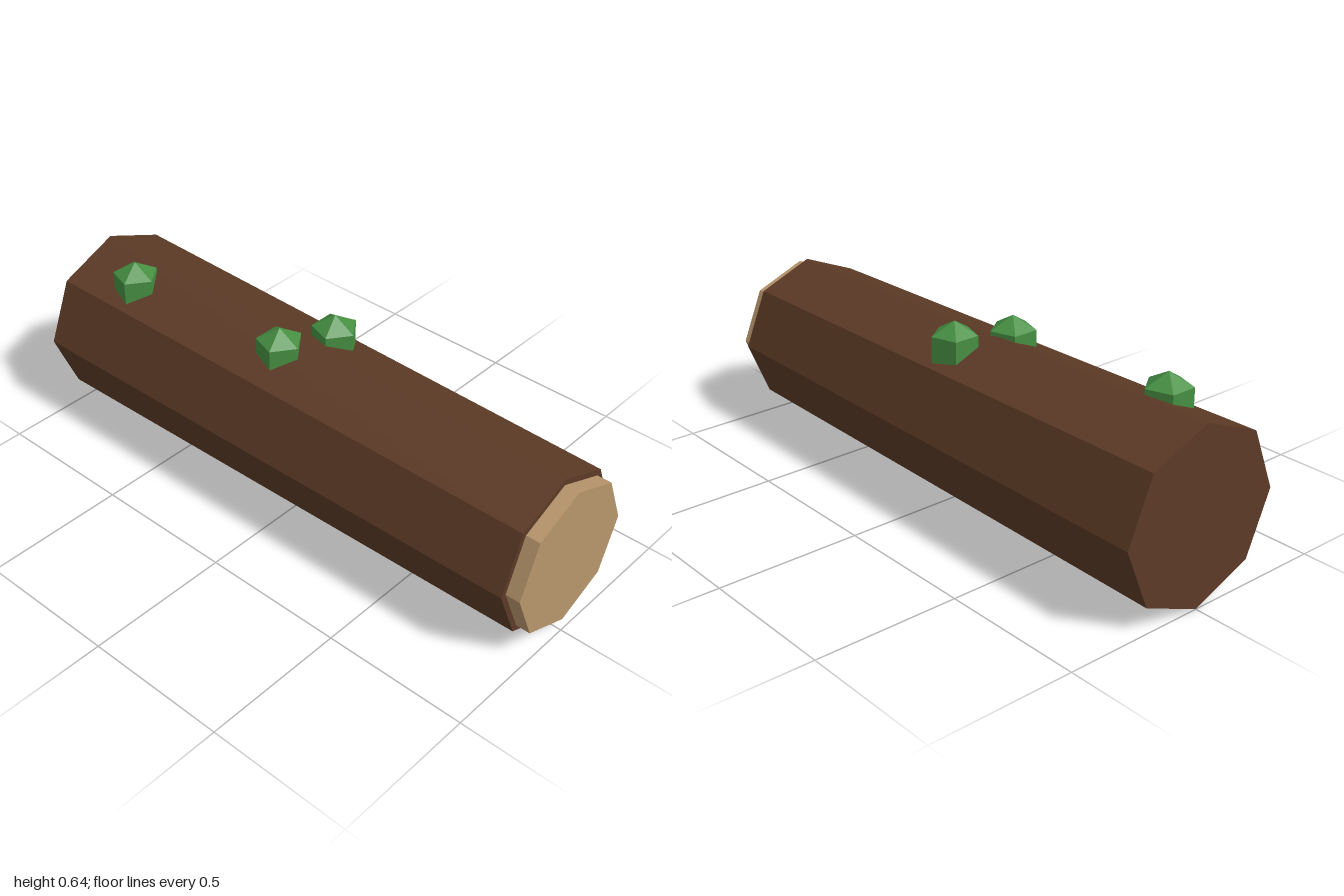
import * as THREE from 'three';

const flat = (name, color) => {
  const m = new THREE.MeshStandardMaterial({ color, flatShading: true });
  m.name = name;
  return m;
};

export function createModel() {
  const bark = flat('bark brown', 0x5c3a26);
  const wood = flat('cut wood tan', 0xb7956b);
  const moss = flat('moss green', 0x468f42);
  const group = new THREE.Group();
  group.name = 'log';

  const add = (name, geometry, material, x, y, z) => {
    const mesh = new THREE.Mesh(geometry, material);
    mesh.name = name;
    mesh.position.set(x, y, z);
    group.add(mesh);
  };

  // Eight-sided cylinder lying along x, from x0 to x1
  const lying = (name, r0, r1, x0, x1, material) => {
    const g = new THREE.CylinderGeometry(r1, r0, x1 - x0, 8).rotateZ(-Math.PI / 2);
    add(name, g, material, (x0 + x1) / 2, 0.3, 0);
  };
  lying('trunk', 0.3, 0.274, -1, 0.95, bark);
  lying('cutEnd', 0.253, 0.253, 0.9, 1, wood);

  // Five-sided moss clumps sunk into the top of the trunk
  const clump = new THREE.SphereGeometry(0.09, 5, 3).rotateY(Math.PI);
  [[-0.748, 0.108], [-0.112, 0.066], [-0.03, -0.108]].forEach(([x, z], i) =>
    add(`mossClump${i + 1}`, clump, moss, x, 0.555, z));

  return group;
}
